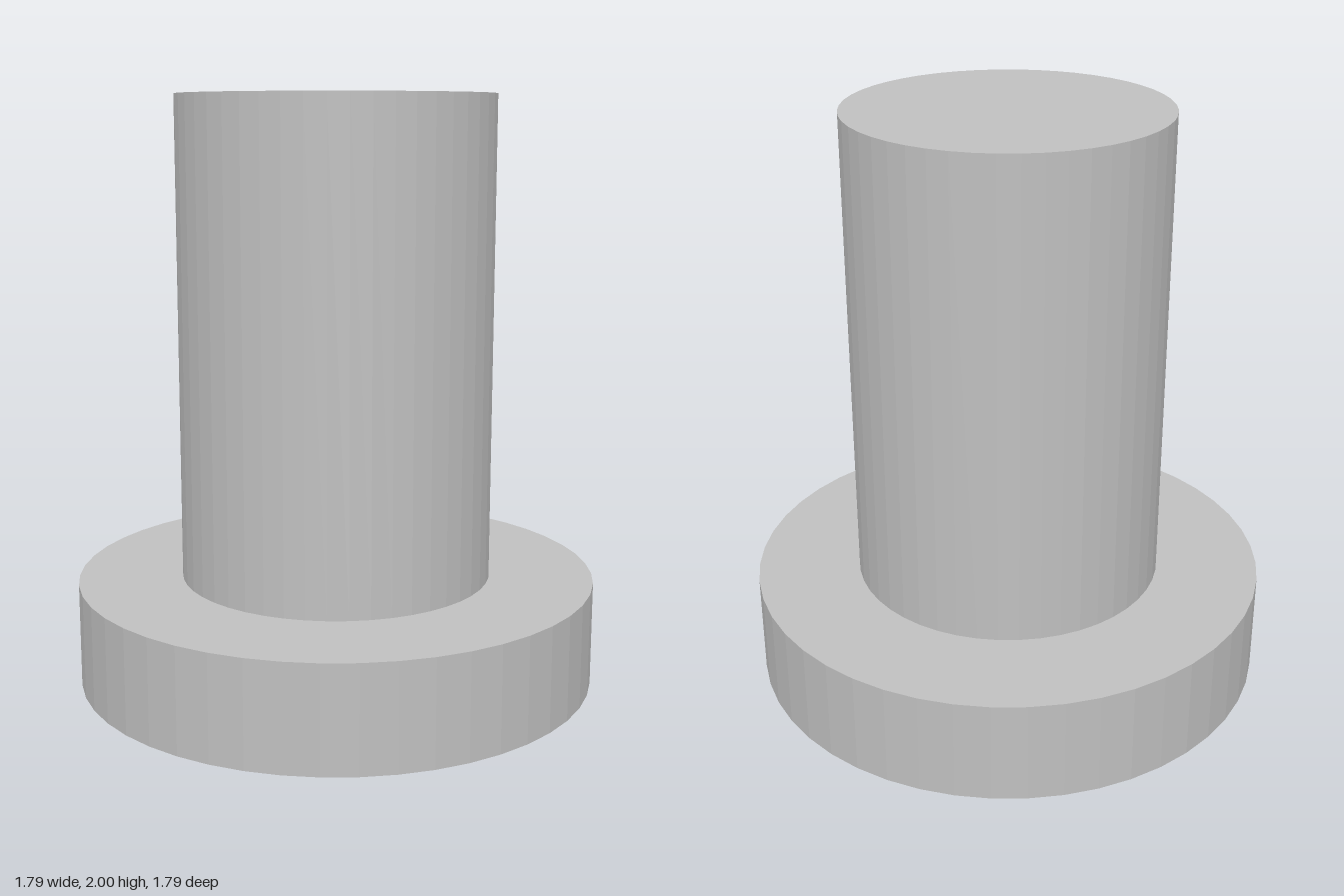
import * as THREE from 'three';

const SEGMENTS = 48;
const FLANGE_RADIUS = 0.893;
const SHAFT_RADIUS = 0.536;
const FLANGE_TOP = 0.357;
const TOP = 2;

export function createModel() {
  const group = new THREE.Group();
  group.name = 'flangedPin';

  const grey = new THREE.MeshStandardMaterial({ color: 0xbfbfbf, flatShading: true });
  grey.name = 'plain grey';

  // Turn a bottom-to-top profile of [radius, height] pairs around the y axis
  const turn = (name, profile) => {
    const points = profile.map(([r, y]) => new THREE.Vector2(r, y));
    const mesh = new THREE.Mesh(new THREE.LatheGeometry(points, SEGMENTS), grey);
    mesh.name = name;
    group.add(mesh);
  };

  // Wide disc at the foot, its upper face ending where the shaft begins
  turn('flange', [
    [0, 0],
    [FLANGE_RADIUS, 0],
    [FLANGE_RADIUS, FLANGE_TOP],
    [SHAFT_RADIUS, FLANGE_TOP],
  ]);

  // Straight shaft with a flat end
  turn('shaft', [
    [SHAFT_RADIUS, FLANGE_TOP],
    [SHAFT_RADIUS, TOP],
    [0, TOP],
  ]);

  return group;
}
